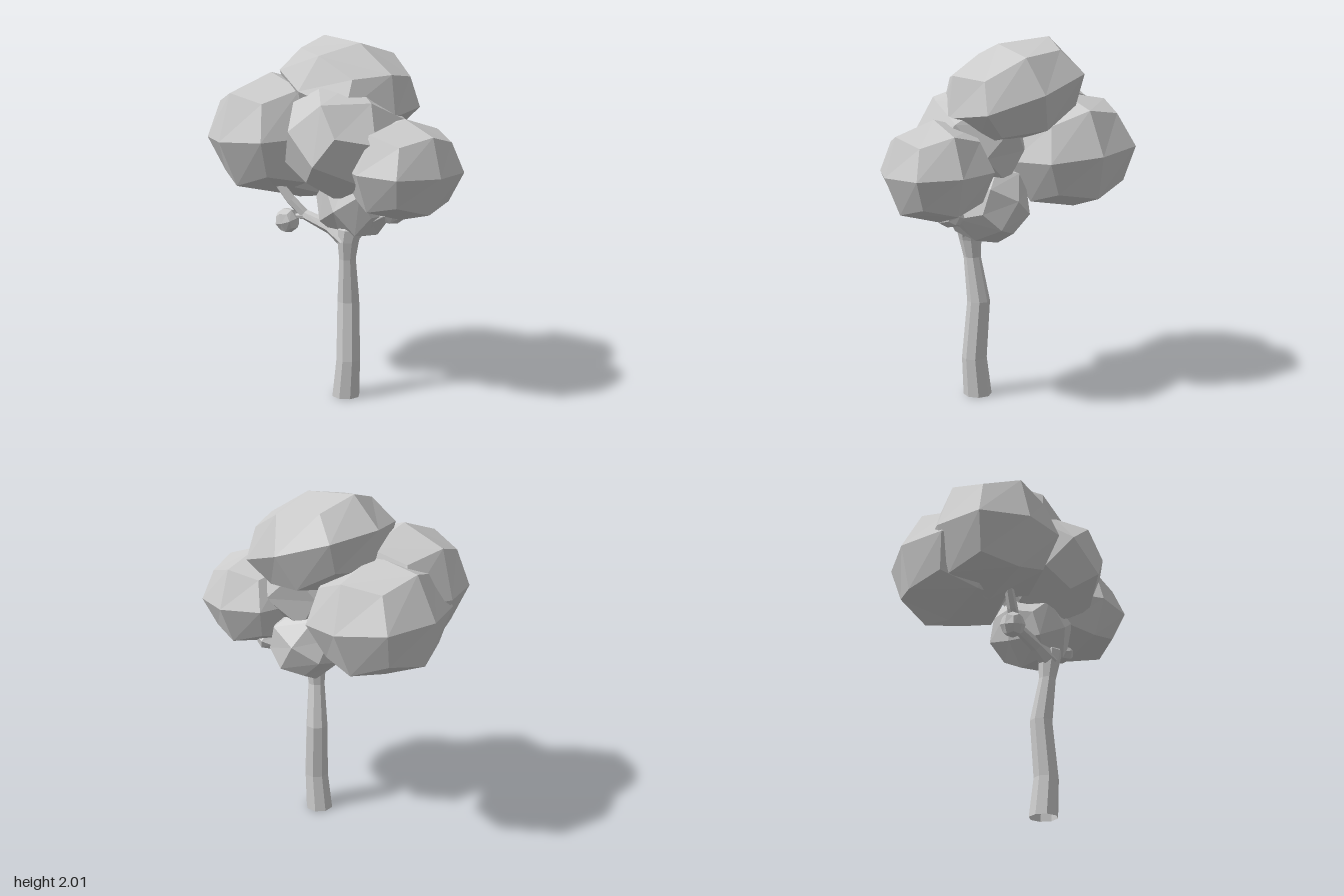
import * as THREE from 'three';

const material = new THREE.MeshStandardMaterial({
  color: 0xcccccc, flatShading: true, side: THREE.DoubleSide,
});

function facetedMesh(geometry, name) {
  const flat = geometry.toNonIndexed();
  flat.computeVertexNormals();
  const mesh = new THREE.Mesh(flat, material);
  mesh.name = name;
  return mesh;
}

// Leaf clump: a cube split 2 x 2 per side, its edges and corners pulled in to round it
function clump(name, center, radii, rotation) {
  const geometry = new THREE.BoxGeometry(2, 2, 2, 2, 2, 2);
  const pos = geometry.attributes.position;
  const pull = [1, 0.75, 0.58];
  const v = new THREE.Vector3();
  for (let i = 0; i < pos.count; i++) {
    v.fromBufferAttribute(pos, i);
    v.multiplyScalar(pull[Math.round(v.lengthSq()) - 1]);
    pos.setXYZ(i, v.x, v.y, v.z);
  }
  geometry.scale(...radii);
  const mesh = facetedMesh(geometry, name);
  mesh.position.set(...center);
  mesh.rotation.set(...rotation);
  return mesh;
}

// Limb: rings [x, y, z, radius] joined into an open faceted tube
function limb(name, rings, sides, levelRings = false) {
  const up = new THREE.Vector3(0, 1, 0);
  const centers = rings.map(r => new THREE.Vector3(r[0], r[1], r[2]));
  const positions = [];
  const index = [];
  const last = rings.length - 1;
  rings.forEach((ring, i) => {
    const q = new THREE.Quaternion();
    if (!levelRings) {
      const dir = centers[Math.min(i + 1, last)].clone().sub(centers[Math.max(i - 1, 0)]).normalize();
      q.setFromUnitVectors(up, dir);
    }
    for (let k = 0; k < sides; k++) {
      const a = (k + 0.5) / sides * Math.PI * 2;
      const p = new THREE.Vector3(Math.cos(a) * ring[3], 0, Math.sin(a) * ring[3]);
      positions.push(...p.applyQuaternion(q).add(centers[i]).toArray());
    }
  });
  for (let i = 0; i < last; i++) {
    for (let k = 0; k < sides; k++) {
      const a = i * sides + k, b = i * sides + (k + 1) % sides;
      index.push(a, a + sides, b, b, a + sides, b + sides);
    }
  }
  const geometry = new THREE.BufferGeometry();
  geometry.setAttribute('position', new THREE.Float32BufferAttribute(positions, 3));
  geometry.setIndex(index);
  return facetedMesh(geometry, name);
}

export function createModel() {
  const tree = new THREE.Group();
  tree.name = 'tree';

  // Bent trunk, flaring where it forks
  const wood = new THREE.Group();
  wood.name = 'wood';
  wood.add(
    limb('trunk', [
      [0.135, 0, -0.02, 0.08], [0.155, 0.22, -0.02, 0.07], [0.135, 0.55, -0.036, 0.064],
      [0.16, 0.8, -0.008, 0.048], [0.17, 0.9, -0.005, 0.062], [0.18, 0.97, -0.015, 0.074],
      [0.18, 1.06, -0.06, 0.06],
    ], 8, true),
    limb('rightBranch', [
      [0.17, 0.91, 0, 0.06], [0.06, 0.965, 0.03, 0.038], [-0.11, 1.02, 0.08, 0.03],
      [-0.17, 1.1, 0.13, 0.03], [-0.23, 1.2, 0.18, 0.025],
    ], 6),
    limb('rightTwig', [
      [-0.09, 1.015, 0.075, 0.022], [-0.14, 1.01, 0.12, 0.015], [-0.18, 0.99, 0.15, 0.01],
    ], 6),
    limb('leftBranch', [
      [0.17, 0.9, 0, 0.045], [0.23, 1.0, -0.05, 0.042], [0.32, 1.06, -0.12, 0.03],
      [0.42, 1.2, -0.16, 0.025],
    ], 6),
  );
  tree.add(wood);

  // Overlapping clumps of the crown
  const crown = new THREE.Group();
  crown.name = 'crown';
  crown.add(
    clump('topClump', [-0.01, 1.722, -0.16], [0.405, 0.268, 0.36], [0, 0, -0.33]),
    clump('rightFrontClump', [-0.315, 1.465, 0.13], [0.345, 0.345, 0.385], [0.06, 0, 0.02]),
    clump('rightBackClump', [-0.38, 1.38, -0.125], [0.36, 0.325, 0.375], [0, 0, -0.13]),
    clump('leftFrontClump', [0.165, 1.455, 0.01], [0.3, 0.315, 0.355], [-0.2, -0.2, 0.8]),
    clump('leftClump', [0.44, 1.315, -0.155], [0.295, 0.275, 0.325], [0, 0, -0.05]),
    clump('lowerClump', [0.12, 1.115, -0.11], [0.215, 0.225, 0.245], [0.15, 0.3, 0.5]),
    clump('rightBud', [-0.18, 0.985, 0.15], [0.068, 0.072, 0.066], [0.2, 0.3, 0.2]),
    clump('leftBud', [0.37, 1.07, -0.165], [0.068, 0.06, 0.09], [0.1, 0.2, 0.3]),
  );
  tree.add(crown);
  return tree;
}
